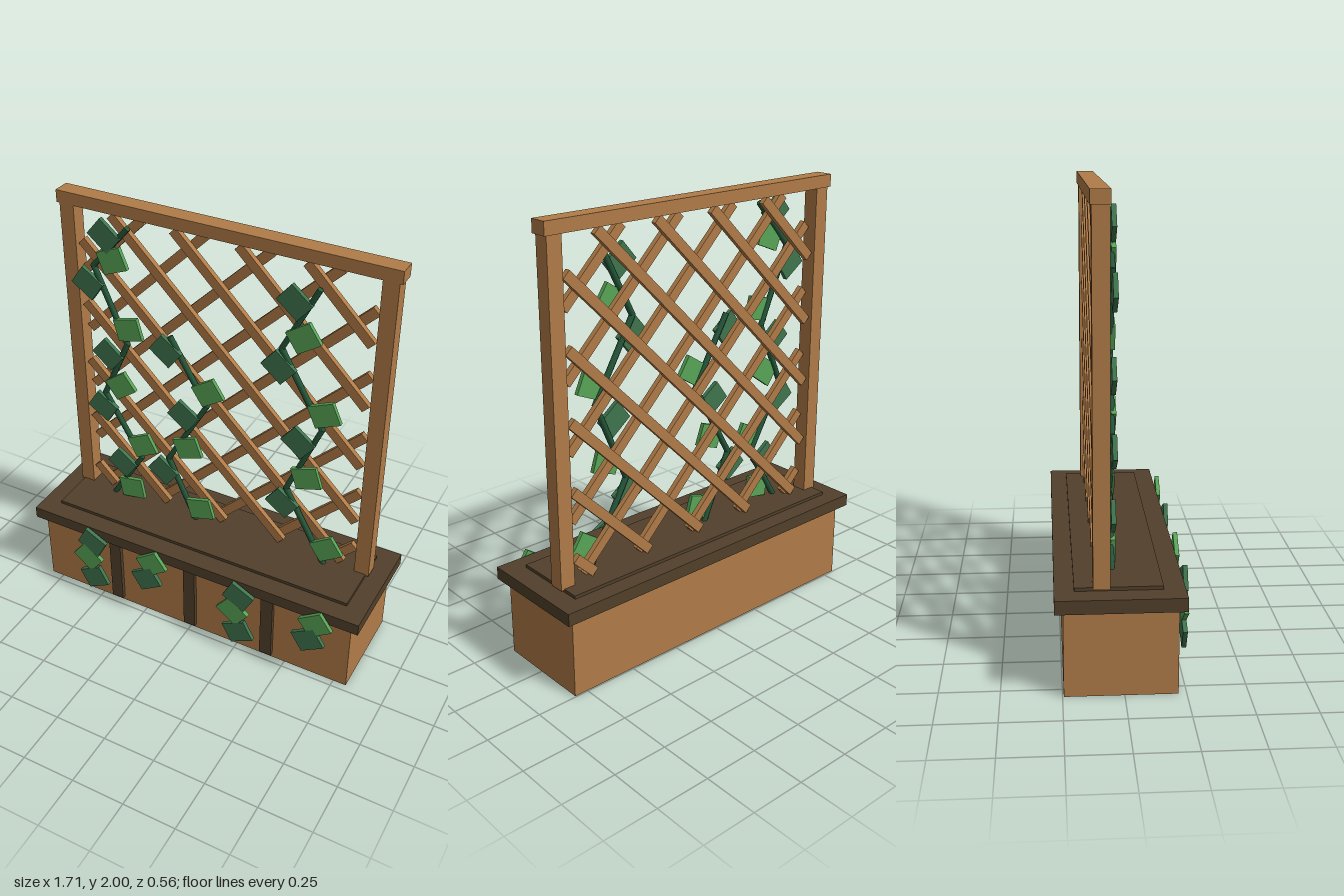
import * as THREE from 'three';

const paint = (name, color) => {
  const m = new THREE.MeshStandardMaterial({ color });
  m.name = name;
  return m;
};

export function createModel() {
  const wood = paint('wood', 0xb07c48);
  const darkWood = paint('darkWood', 0x52402b);
  const darkLeaf = paint('darkLeaf', 0x3f754e);
  const lightLeaf = paint('lightLeaf', 0x58a557);
  const stem = paint('stem', 0x25573a);

  const model = new THREE.Group();
  model.name = 'planterWithTrellis';
  const group = (name) => {
    const g = new THREE.Group();
    g.name = name;
    model.add(g);
    return g;
  };
  const add = (parent, name, geo, mat, x, y, z, turn = 0) => {
    const m = new THREE.Mesh(geo, mat);
    m.name = name;
    m.position.set(x, y, z);
    m.rotation.z = turn;
    parent.add(m);
    return m;
  };
  // box given by its limits on each axis
  const block = (parent, name, mat, [x0, x1], [y0, y1], [z0, z1]) =>
    add(parent, name, new THREE.BoxGeometry(x1 - x0, y1 - y0, z1 - z0), mat,
      (x0 + x1) / 2, (y0 + y1) / 2, (z0 + z1) / 2);

  // planter
  const planter = group('planter');
  block(planter, 'planterBox', wood, [-0.813, 0.813], [0, 0.375], [-0.245, 0.217]);
  block(planter, 'planterRim', darkWood, [-0.855, 0.855], [0.372, 0.43], [-0.28, 0.247]);
  block(planter, 'soil', darkWood, [-0.762, 0.762], [0.42, 0.445], [-0.2, 0.158]);
  for (const x of [-0.407, 0, 0.407])
    block(planter, 'frontBatten', darkWood, [x - 0.03, x + 0.03], [0.025, 0.375], [0.21, 0.237]);

  // trellis frame
  const trellis = group('trellis');
  for (const s of [-1, 1])
    block(trellis, 'post', wood, [s * 0.742 - 0.035, s * 0.742 + 0.035], [0.44, 1.95], [-0.125, -0.055]);
  block(trellis, 'topRail', wood, [-0.79, 0.79], [1.943, 2], [-0.132, -0.052]);

  // diagonal slats in two mirrored layers, clipped to the opening
  const X = 0.685, Y0 = 0.46, Y1 = 1.93;
  for (const s of [1, -1]) {
    for (let k = 0; k < 9; k++) {
      const c = -0.13 + 0.306 * k;
      const xa = Math.max(-X, c - Y1), xb = Math.min(X, c - Y0);
      const mid = (xa + xb) / 2;
      const geo = new THREE.BoxGeometry((xb - xa) * Math.SQRT2, 0.044, 0.025);
      add(trellis, 'slat', geo, wood, s * mid, c - mid, s > 0 ? -0.078 : -0.103, -s * Math.PI / 4);
    }
  }

  // climbing stems: bent paths of straight rods
  const stems = group('climbingStems');
  const paths = [
    [[-0.43, 1.9], [-0.61, 1.69], [-0.455, 1.33], [-0.59, 1.03], [-0.405, 0.71], [-0.57, 0.44]],
    [[-0.23, 1.43], [-0.05, 1.12], [-0.255, 0.76], [-0.11, 0.44]],
    [[0.46, 1.84], [0.305, 1.53], [0.51, 1.18], [0.355, 0.81], [0.56, 0.44]],
  ];
  for (const path of paths) {
    for (let i = 1; i < path.length; i++) {
      const [x0, y0] = path[i - 1], [x1, y1] = path[i];
      const dx = x1 - x0, dy = y1 - y0;
      const rod = new THREE.CylinderGeometry(0.014, 0.014, Math.hypot(dx, dy) + 0.01, 6);
      add(stems, 'stem', rod, stem, (x0 + x1) / 2, (y0 + y1) / 2, -0.04, Math.atan2(-dx, dy));
    }
  }

  // leaves: [x, y, turn in degrees], dark and light taking turns
  const leafGeo = new THREE.BoxGeometry(0.125, 0.106, 0.02);
  const leaves = (name, list, z, startLight = false) => {
    const g = group(name);
    list.forEach(([x, y, deg], i) =>
      add(g, 'leaf', leafGeo, (i % 2 === 1) !== startLight ? lightLeaf : darkLeaf,
        x, y, z, THREE.MathUtils.degToRad(deg)));
  };
  leaves('leftVineLeaves', [
    [-0.54, 1.85, -40], [-0.505, 1.74, 22], [-0.64, 1.6, -35], [-0.44, 1.415, 15], [-0.555, 1.255, -40],
    [-0.495, 1.1, 36], [-0.6, 0.955, -33], [-0.39, 0.795, 27], [-0.508, 0.652, -36], [-0.46, 0.515, 10],
  ], -0.03);
  leaves('middleVineLeaves', [
    [-0.25, 1.36, -38], [-0.038, 1.204, 33], [-0.165, 1.04, -36],
    [-0.145, 0.864, 20], [-0.28, 0.685, -37], [-0.08, 0.526, 16],
  ], -0.03);
  leaves('rightVineLeaves', [
    [0.36, 1.767, -40], [0.407, 1.612, 34], [0.3, 1.443, -40], [0.52, 1.268, 24],
    [0.407, 1.088, -38], [0.455, 0.908, 18], [0.343, 0.728, -36], [0.572, 0.541, 34],
  ], -0.03);

  // leaves hanging over the front
  for (const x of [-0.51, 0.28])
    leaves('hangingLeaves', [[x, 0.366, -28], [x - 0.03, 0.262, -38], [x, 0.143, 28]], 0.27);
  for (const x of [-0.18, 0.662])
    leaves('hangingLeaves', [[x, 0.366, 35], [x - 0.03, 0.262, 32]], 0.27, true);

  return model;
}
